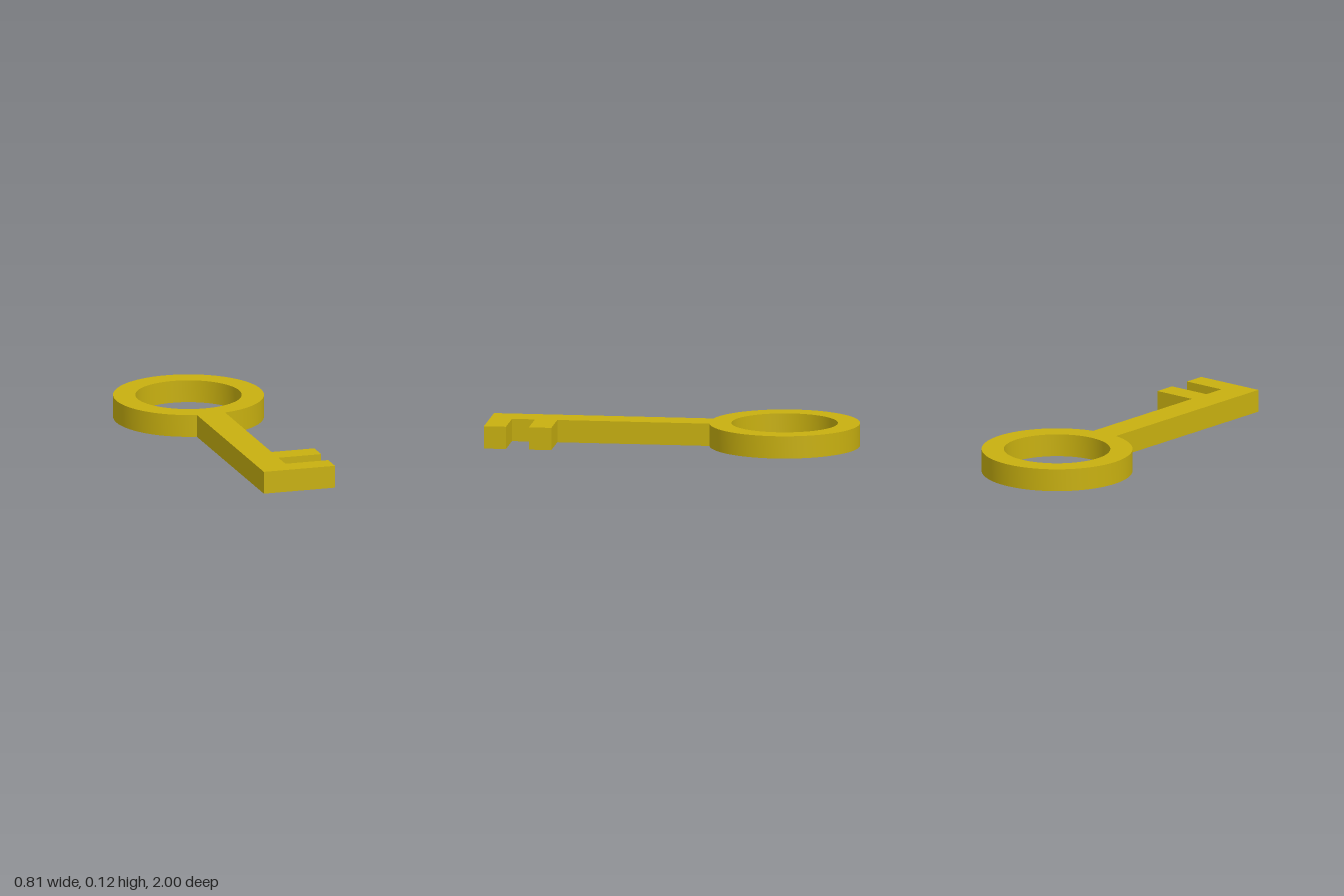
import * as THREE from 'three';
import { toCreasedNormals } from 'three/addons/utils/BufferGeometryUtils.js';

const THICKNESS = 0.122;
const RING = { z: -0.593, outer: 0.407, inner: 0.287 };
const SHAFT = 0.08; // half width
const TOOTH_X = 0.322;

export function createModel() {
  const brass = new THREE.MeshStandardMaterial({ color: 0xc8b010 });
  brass.name = 'brass';

  // Outline drawn flat, with shape y = -z
  const outline = new THREE.Shape();
  const join = Math.asin(SHAFT / RING.outer);
  outline.moveTo(-SHAFT, -1);

  // Bit: two square teeth on the left side of the shaft
  const bit = [
    [TOOTH_X, 1], [TOOTH_X, 0.88], [SHAFT, 0.88],
    [SHAFT, 0.755], [TOOTH_X, 0.755], [TOOTH_X, 0.633], [SHAFT, 0.633],
  ];
  for (const [x, z] of bit) outline.lineTo(x, -z);

  // Bow: ring running from one side of the shaft round to the other
  outline.absarc(0, -RING.z, RING.outer, -Math.PI / 2 + join, Math.PI * 1.5 - join, false);
  outline.closePath();

  const hole = new THREE.Path();
  hole.absarc(0, -RING.z, RING.inner, 0, Math.PI * 2, true);
  outline.holes.push(hole);

  // Extrude upward from the ground, rounding only the ring walls
  const solid = new THREE.ExtrudeGeometry(outline, {
    depth: THICKNESS, bevelEnabled: false, curveSegments: 64,
  });
  solid.rotateX(-Math.PI / 2);

  const key = new THREE.Mesh(toCreasedNormals(solid, Math.PI / 6), brass);
  key.name = 'keyBody';

  const group = new THREE.Group();
  group.name = 'key';
  group.add(key);
  return group;
}
